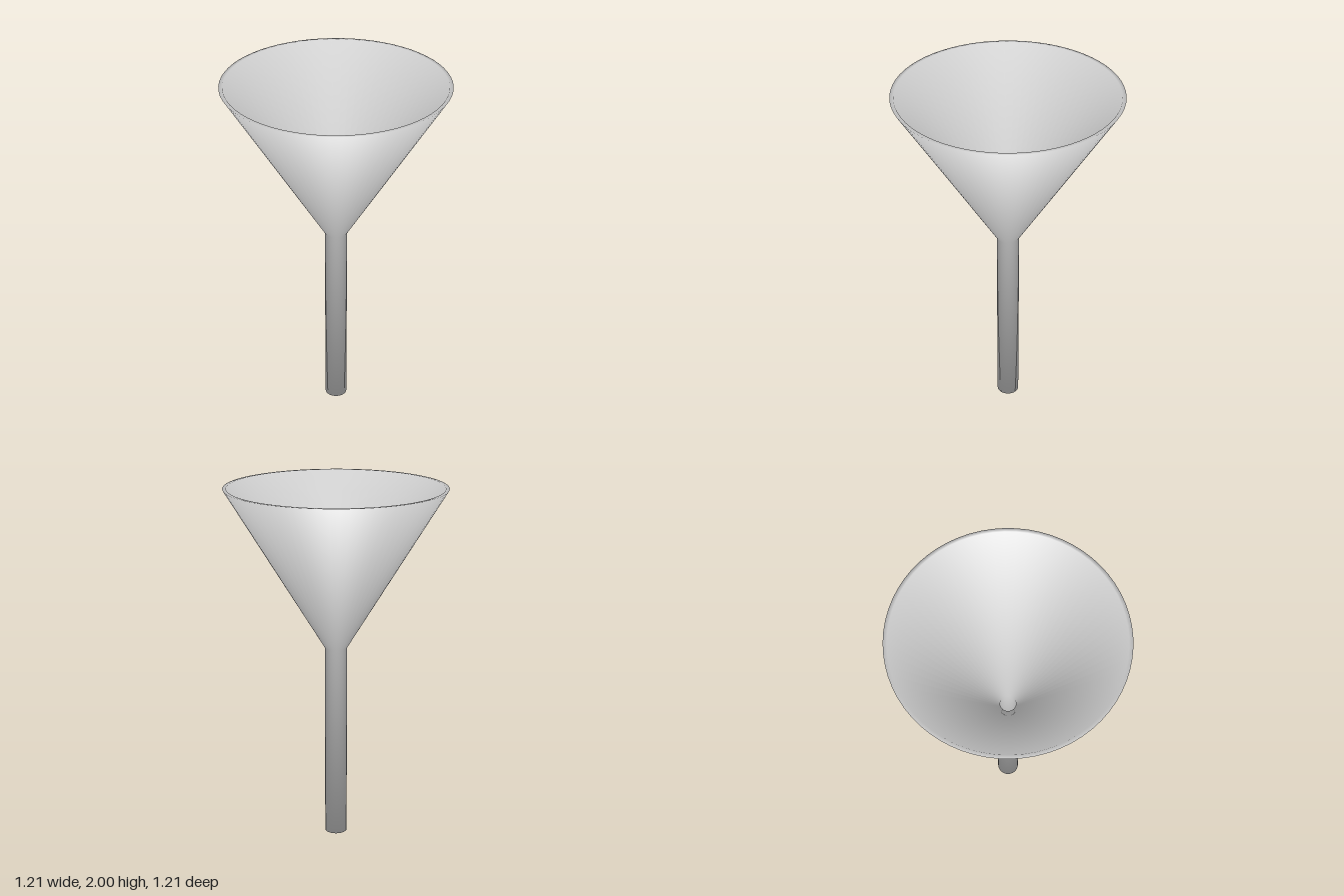
import * as THREE from 'three';

// Revolve a closed wall section; each corner's normal is the even average
// of its two neighbouring walls, so shading rolls softly over every edge.
function revolveSoft(section, segments) {
  const count = section.length;
  const wallNormals = section.map((p, i) => {
    const q = section[(i + 1) % count];
    return new THREE.Vector2(q.y - p.y, p.x - q.x).normalize();
  });
  const cornerNormals = wallNormals.map((n, i) =>
    n.clone().add(wallNormals[(i + count - 1) % count]).normalize());

  const geometry = new THREE.LatheGeometry([...section, section[0]], segments);
  const normal = geometry.attributes.normal;
  for (let i = 0; i < normal.count; i++) {
    const n = cornerNormals[(i % (count + 1)) % count];
    const angle = Math.floor(i / (count + 1)) / segments * Math.PI * 2;
    normal.setXYZ(i, n.x * Math.sin(angle), n.y, n.x * Math.cos(angle));
  }
  return geometry;
}

export function createModel() {
  const group = new THREE.Group();
  group.name = 'funnel';

  const greyMetal = new THREE.MeshStandardMaterial({ color: 0xcccccc });
  greyMetal.name = 'grey metal';

  // Wall section: up the outside, over the rim, down the inside
  const section = [
    [0.044, 0],     // stem mouth, inner edge
    [0.062, 0],     // stem mouth, outer edge
    [0.062, 1.107], // outer neck
    [0.605, 2],     // rim, outer edge
    [0.585, 2],     // rim, inner edge
    [0.044, 1.112], // inner neck
  ].map(([r, y]) => new THREE.Vector2(r, y));

  // Cone and stem are one continuous hollow wall
  const wall = new THREE.Mesh(revolveSoft(section, 64), greyMetal);
  wall.name = 'coneAndStem';
  group.add(wall);

  return group;
}
